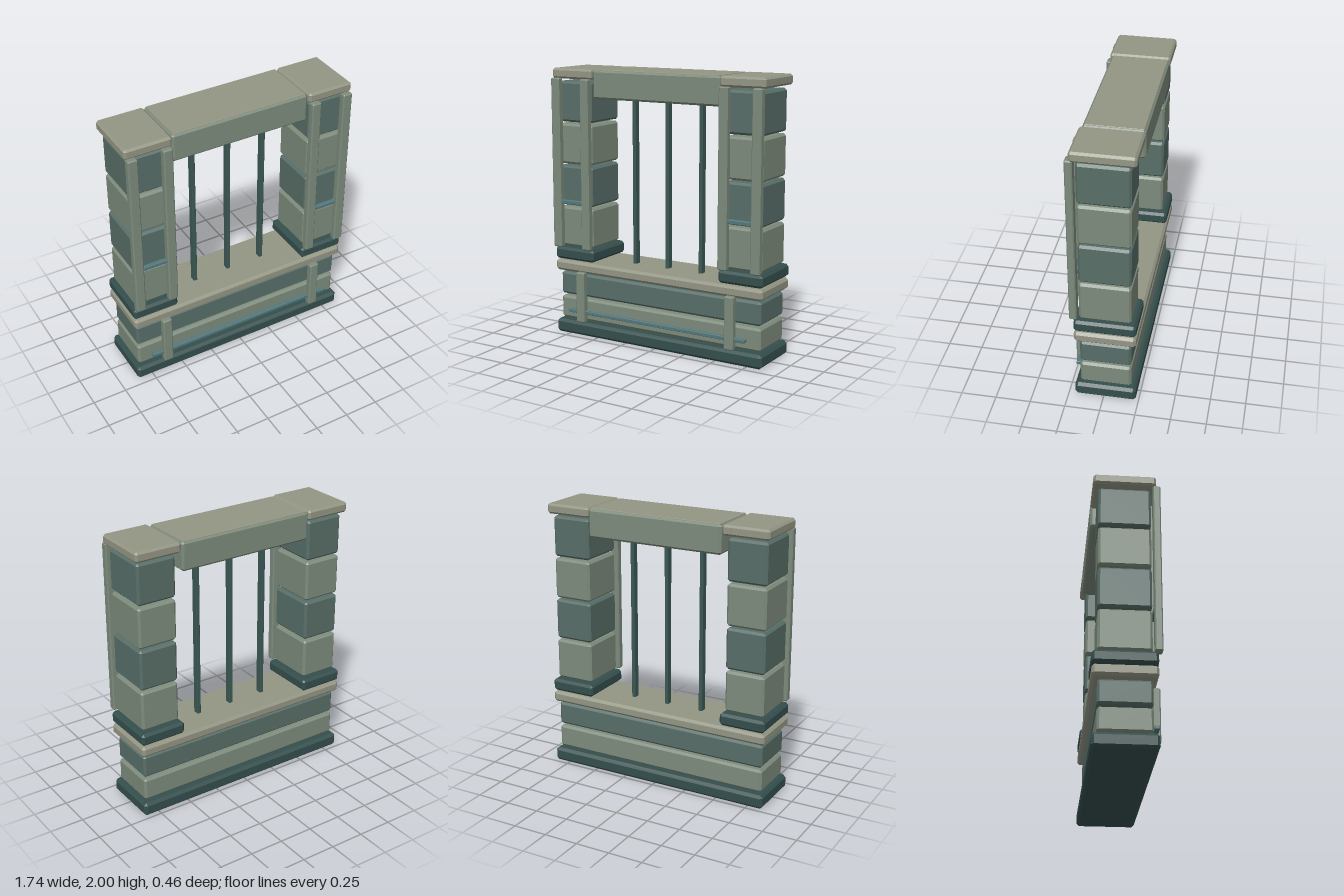
import * as THREE from 'three';
import { ConvexGeometry } from 'three/addons/geometries/ConvexGeometry.js';

const paint = (color) => new THREE.MeshStandardMaterial({ color });

// Box with single-facet chamfers on every edge, given by its min/max extents
function chamferBox([x0, x1], [y0, y1], [z0, z1], b) {
  const half = [(x1 - x0) / 2, (y1 - y0) / 2, (z1 - z0) / 2];
  const pts = [];
  for (const sx of [-1, 1]) for (const sy of [-1, 1]) for (const sz of [-1, 1]) {
    for (let axis = 0; axis < 3; axis++) {
      const c = half.map((h, i) => (i === axis ? h : h - b));
      pts.push(new THREE.Vector3(sx * c[0], sy * c[1], sz * c[2]));
    }
  }
  return new ConvexGeometry(pts).translate((x0 + x1) / 2, (y0 + y1) / 2, (z0 + z1) / 2);
}

export function createModel() {
  const model = new THREE.Group();
  model.name = 'windowWall';

  const darkStone = paint(0x586e68);
  const lightStone = paint(0x7d8b7c);
  const capStone = paint(0x949684);
  const plinthStone = paint(0x344f4d);
  const railMetal = paint(0x55797e);
  const barMetal = paint(0x3c5955);

  const SLAB_Z = [-0.23, 0.204];
  const BLOCK_Z = [-0.194, 0.167];
  const STRIP_Z = [0.18, 0.233];
  const RAIL_Z = [0.183, 0.215];

  const add = (name, material, x, y, z, bevel = 0.016, parent = model) => {
    const mesh = new THREE.Mesh(chamferBox(x, y, z, bevel), material);
    mesh.name = name;
    parent.add(mesh);
  };

  // Low wall: plinth, two courses and sill
  add('plinth', plinthStone, [-0.868, 0.868], [0, 0.102], SLAB_Z, 0.02);
  add('lowerCourse', lightStone, [-0.843, 0.843], [0.112, 0.28], BLOCK_Z);
  add('upperCourse', darkStone, [-0.843, 0.843], [0.297, 0.468], BLOCK_Z);
  add('sill', capStone, [-0.868, 0.868], [0.485, 0.565], SLAB_Z, 0.018);
  add('wallRail', railMetal, [-0.747, 0.747], [0.174, 0.2], RAIL_Z, 0.003);

  // Pillars, mirrored left and right
  for (const side of [1, -1]) {
    const pillar = new THREE.Group();
    pillar.name = side > 0 ? 'leftPillar' : 'rightPillar';
    model.add(pillar);
    const span = (a, b) => (side > 0 ? [a, b] : [-b, -a]);
    const put = (name, material, x, y, z, bevel) => add(name, material, span(...x), y, z, bevel, pillar);

    put('pillarBase', plinthStone, [0.524, 0.868], [0.575, 0.665], SLAB_Z, 0.018);
    for (let i = 0; i < 4; i++) {
      const y = 0.674 + i * 0.3112;
      put('pillarBlock', i % 2 ? darkStone : lightStone, [0.55, 0.843], [y, y + 0.297], BLOCK_Z);
    }
    put('pillarCap', capStone, [0.524, 0.868], [1.926, 2], SLAB_Z, 0.015);
    put('innerStrip', lightStone, [0.535, 0.605], [0.672, 1.93], STRIP_Z, 0.008);
    put('outerStrip', lightStone, [0.787, 0.859], [0.672, 1.93], STRIP_Z, 0.008);
    put('pillarRail', railMetal, [0.59, 0.8], [1.002, 1.03], RAIL_Z, 0.003);
    put('wallStrip', lightStone, [0.591, 0.663], [0.112, 0.495], STRIP_Z, 0.008);
  }

  // Lintel with its pale top face
  add('lintel', lightStone, [-0.519, 0.519], [1.79, 1.996], [-0.23, 0.188], 0.015);
  add('lintelTop', capStone, [-0.506, 0.506], [1.99, 2], [-0.217, 0.175], 0.003);

  // Upright window bars
  for (const x of [-0.279, 0, 0.279]) {
    add('windowBar', barMetal, [x - 0.014, x + 0.014], [0.56, 1.8], [-0.038, 0.012], 0.003);
  }

  return model;
}
